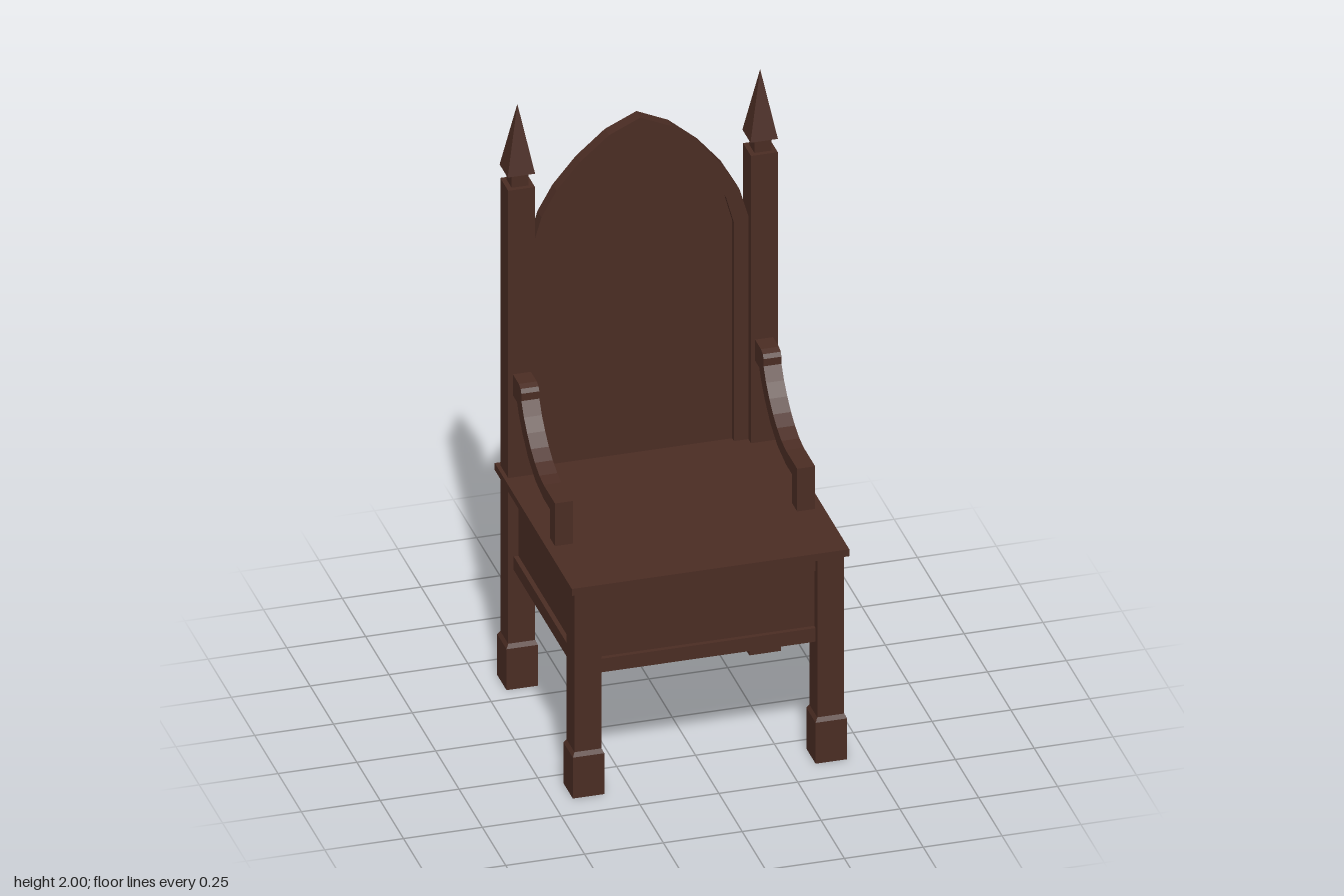
import * as THREE from 'three';

export function createModel() {
  const model = new THREE.Group();
  model.name = 'throneChair';
  const wood = new THREE.MeshStandardMaterial({ color: 0x4a2c23 });
  wood.name = 'darkWood';

  function add(name, geometry, x = 0, y = 0, z = 0) {
    const mesh = new THREE.Mesh(geometry, wood);
    mesh.name = name;
    mesh.position.set(x, y, z);
    model.add(mesh);
    return mesh;
  }
  // Box given by its width, bottom, top and depth
  const block = (name, x, z, w, d, y0, y1) =>
    add(name, new THREE.BoxGeometry(w, y1 - y0, d), x, (y0 + y1) / 2, z);
  // Square frustum given by its half widths, bottom and top
  function taper(name, x, z, bottom, top, y0, y1) {
    const g = new THREE.CylinderGeometry(top * Math.SQRT2, bottom * Math.SQRT2, y1 - y0, 4, 1)
      .rotateY(Math.PI / 4).toNonIndexed();
    g.computeVertexNormals();
    add(name, g, x, (y0 + y1) / 2, z);
  }

  // Seat board
  block('seat', 0, -0.002, 0.88, 0.826, 0.708, 0.732);

  // Legs, feet and the tall rear posts with their finials
  const legX = 0.385, legZ = 0.355;
  for (const x of [-legX, legX]) {
    for (const z of [-legZ, legZ]) {
      block('leg', x, z, 0.085, 0.085, 0.15, 0.708);
      block('foot', x, z, 0.1, 0.1, 0, 0.142);
      taper('footBevel', x, z, 0.05, 0.0425, 0.142, 0.156);
    }
    block('backPost', x, -legZ, 0.085, 0.085, 0.732, 1.73);
    block('finialNeck', x, -legZ, 0.054, 0.054, 1.73, 1.775);
    taper('finial', x, -legZ - 0.003, 0.0435, 0.0003, 1.775, 2);
  }

  // Apron: a recessed panel between two rails on each side
  for (const s of [-1, 1]) {
    block('apronPanel', 0, s * 0.355, 0.685, 0.02, 0.45, 0.66);
    block('sideApronPanel', s * 0.385, 0, 0.02, 0.625, 0.45, 0.66);
    for (const [y0, y1] of [[0.41, 0.457], [0.655, 0.708]]) {
      block('apronRail', 0, s * 0.355, 0.685, 0.05, y0, y1);
      block('sideApronRail', s * 0.385, 0, 0.05, 0.625, y0, y1);
    }
  }

  // Pointed-arch back: frame around a recessed panel
  const outer = [[0.343, 0.732], [0.343, 1.505], [0.314, 1.605], [0.266, 1.69], [0.192, 1.778], [0.1, 1.857], [0, 1.903]];
  const inner = outer.map(([x, y]) => [x * 0.865, y < 1 ? y : 1.49 + (y - 1.505) * 0.92]);
  const mirrored = (pts) => [...pts, ...pts.slice(0, -1).reverse().map(([x, y]) => [-x, y])];
  const toShape = (pts) => new THREE.Shape(pts.map(([x, y]) => new THREE.Vector2(x, y)));
  const extrude = (shape, depth) => new THREE.ExtrudeGeometry(shape, { depth, bevelEnabled: false });
  add('backPanel', extrude(toShape(mirrored(inner)), 0.024), 0, 0, -0.383);
  add('backFrame', extrude(toShape([...mirrored(outer), ...mirrored(inner).reverse()]), 0.043), 0, 0, -0.383);

  // Sweeping arms, profile drawn as z against y
  const armProfile = [
    [0.138, 0.732], [0.138, 0.88], [0.016, 0.88], [-0.03, 0.888], [-0.078, 0.907], [-0.12, 0.932],
    [-0.16, 0.965], [-0.195, 1.002], [-0.222, 1.045], [-0.222, 1.07], [-0.23, 1.083], [-0.25, 1.09],
    [-0.315, 1.09], [-0.315, 1.017], [-0.268, 1.017], [-0.25, 0.985], [-0.21, 0.938], [-0.148, 0.886],
    [-0.074, 0.849], [0.016, 0.832], [0.085, 0.832], [0.085, 0.732],
  ];
  const armGeometry = extrude(toShape(armProfile), 0.057).rotateY(-Math.PI / 2);
  for (const s of [-1, 1]) add(s < 0 ? 'rightArm' : 'leftArm', armGeometry, s * 0.384 + 0.0285);

  return model;
}
